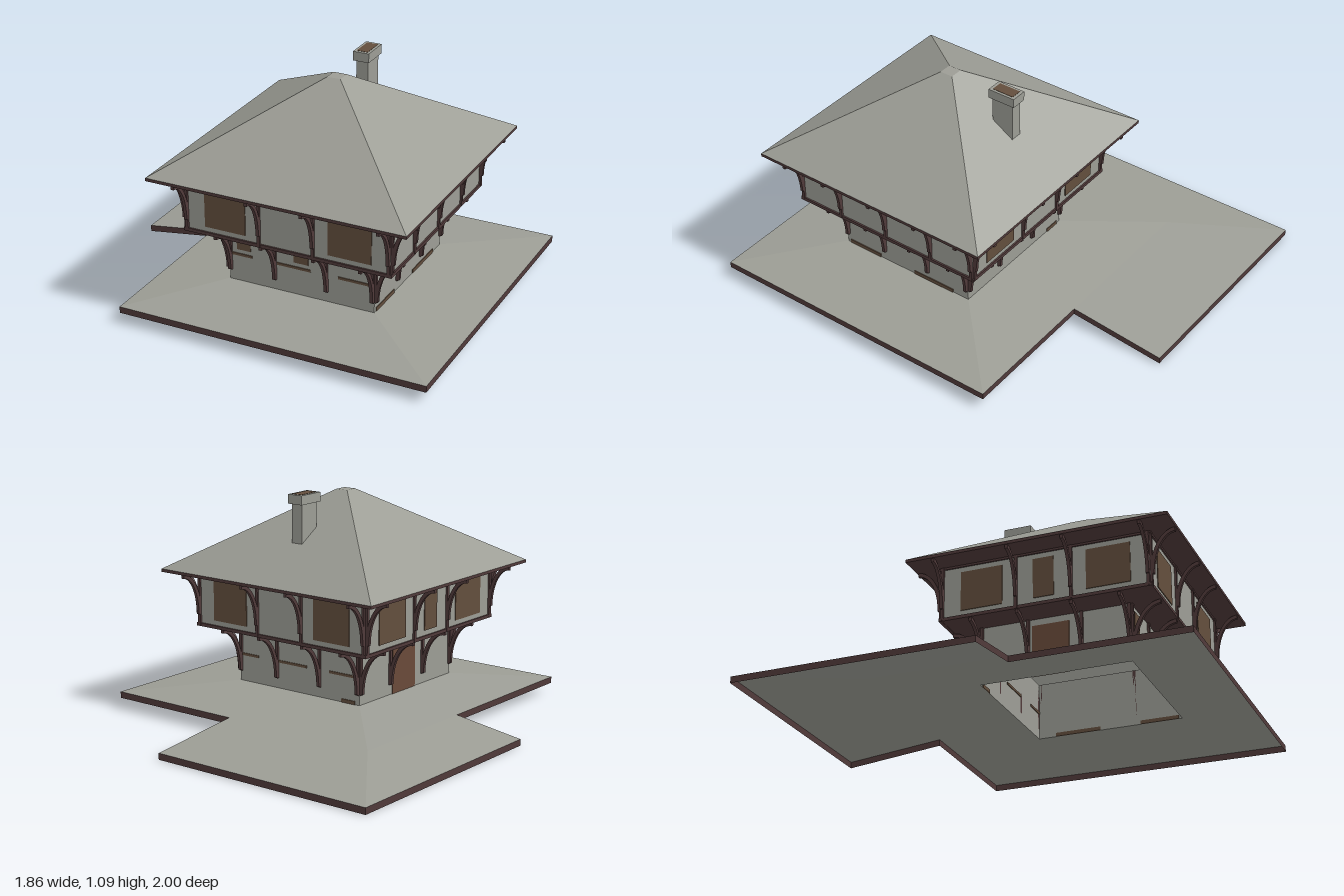
import * as THREE from 'three';

const mat = (name, color) => new THREE.MeshStandardMaterial({ name, color, side: THREE.DoubleSide });

// Joins two loops or paths of [x, y, z] points with flat quads
function loft(a, b, closed = true) {
  const pos = [];
  const n = a.length;
  for (let i = 0; i < (closed ? n : n - 1); i++) {
    const j = (i + 1) % n;
    for (const p of [a[i], a[j], b[j], a[i], b[j], b[i]]) pos.push(...p);
  }
  const g = new THREE.BufferGeometry();
  g.setAttribute('position', new THREE.Float32BufferAttribute(pos, 3));
  g.computeVertexNormals();
  return g;
}

// Square loop around the house axis
const square = (h, y) => [[-h, y, h], [h, y, h], [h, y, -h], [-h, y, -h]];

// Quarter-ellipse brace: rises along the wall, then curves outward (+z)
function braceGeometry(reach, rise, thick, width) {
  const s = new THREE.Shape();
  s.moveTo(0, 0);
  s.absellipse(reach, 0, reach, rise, Math.PI, Math.PI / 2, true);
  s.lineTo(reach, rise - thick);
  s.absellipse(reach, 0, reach - thick, rise - thick, Math.PI / 2, Math.PI, false);
  s.closePath();
  const g = new THREE.ExtrudeGeometry(s, { depth: width, bevelEnabled: false, curveSegments: 8 });
  g.translate(0, 0, -width / 2);
  g.rotateY(-Math.PI / 2);
  return g;
}

export function createModel() {
  const stone = mat('grey stone', 0x9c9d95);
  const wood = mat('dark wood', 0x503a3a);
  const panel = mat('brown panel', 0x634e3d);
  const doorBrown = mat('door brown', 0x694a3a);

  const model = new THREE.Group();
  const add = (parent, name, geo, material, x = 0, y = 0, z = 0) => {
    const m = new THREE.Mesh(geo, material);
    m.name = name;
    m.position.set(x, y, z);
    parent.add(m);
  };
  const box = (parent, name, material, w, h, d, x, y, z) =>
    add(parent, name, new THREE.BoxGeometry(w, h, d), material, x, y, z);

  // Half widths of each square storey and of the eaves, and the house centre
  const LOW = 0.365, UP = 0.505, EAVE = 0.631;
  const CX = 0.141, CZ = 0.246;

  // Ground sheet, open below: raised square with a sloping wing round one corner
  const ground = new THREE.Group();
  ground.name = 'ground';
  model.add(ground);
  const footing = square(LOW, 0.13).map(([x, y, z]) => [x + CX, y, z + CZ]);
  const plot = [[-0.58, 0.085, 1], [0.93, 0.085, 1], [0.93, 0.085, -0.525], [-0.58, 0.085, -0.525]];
  const wingIn = [[0.225, 0.085, -0.525], [-0.58, 0.085, -0.525], [-0.58, 0.085, 0.165]];
  const wingOut = [[0.225, 0.035, -1], [-0.93, 0.035, -1], [-0.93, 0.035, 0.165]];
  add(ground, 'groundTop', loft(plot, footing), stone);
  add(ground, 'wingTop', loft(wingOut, wingIn, false), stone);

  // Thin skirt hanging from the whole outline
  const outline = [...plot.slice(0, 3), wingIn[0], ...wingOut, wingIn[2]];
  const skirtBottom = outline.map(([x, y, z]) => [x, Math.max(0, y - 0.031), z]);
  add(ground, 'groundEdge', loft(skirtBottom, outline), wood);

  const house = new THREE.Group();
  house.name = 'house';
  house.position.set(CX, 0, CZ);
  model.add(house);

  // Hollow storeys with the upper one overhanging
  add(house, 'lowerWalls', loft(square(LOW, 0.13), square(LOW, 0.415)), stone);
  add(house, 'upperWalls', loft(square(UP, 0.415), square(UP, 0.69)), stone);
  add(house, 'overhangFloor', loft(square(LOW, 0.412), square(UP, 0.412)), wood);

  // Hipped roof with a small flat top and boarded eaves
  add(house, 'roof', loft(square(EAVE, 0.695), square(0.0325, 1.066)), stone);
  box(house, 'roofTop', stone, 0.065, 0.004, 0.065, 0, 1.064, 0);
  add(house, 'eavesEdge', loft(square(EAVE, 0.68), square(EAVE, 0.695)), wood);
  add(house, 'eavesUnderside', loft(square(UP, 0.68), square(EAVE, 0.68)), wood);

  // Chimney
  box(house, 'chimneyShaft', stone, 0.06, 0.22, 0.11, 0, 0.94, -0.317);
  box(house, 'chimneyCap', stone, 0.08, 0.045, 0.14, 0, 1.0655, -0.317);
  box(house, 'chimneyMouth', panel, 0.055, 0.004, 0.11, 0, 1.0875, -0.317);

  const lowerBrace = braceGeometry(0.14, 0.225, 0.018, 0.015);
  const upperBrace = braceGeometry(0.12, 0.21, 0.018, 0.015);
  const three = [-0.497, -0.133, 0.133, 0.497];
  const bigWindows = [[-0.303, 0.205, 0.45, 0.645], [0.31, 0.21, 0.45, 0.645]];
  const smallWindows = [[-0.29, 0.07, 0.29, 0.39], [0.002, 0.075, 0.29, 0.39]];
  const sills = [[-0.305, 0.115, 0.258, 0.27], [-0.035, 0.17, 0.258, 0.27], [0.27, 0.165, 0.258, 0.27]];

  // Panels are [centre along wall, width, bottom, top]
  const sides = [
    { name: 'frontSide', turn: 0, posts: three, upper: bigWindows, lower: [...smallWindows, ...sills] },
    {
      name: 'plainSide', turn: Math.PI / 2, posts: [-0.497, -0.265, 0.003, 0.265, 0.497], upper: [],
      lower: [[-0.253, 0.19, 0.13, 0.148], [0.162, 0.23, 0.13, 0.148]],
    },
    {
      name: 'backSide', turn: Math.PI, posts: three, upper: bigWindows,
      lower: [...sills, [0.3, 0.08, 0.13, 0.147]],
    },
    {
      name: 'doorSide', turn: -Math.PI / 2, posts: three,
      upper: [...bigWindows, [0, 0.1, 0.45, 0.645]], lower: [],
    },
  ];

  for (const s of sides) {
    const side = new THREE.Group();
    side.name = s.name;
    side.rotation.y = s.turn;
    house.add(side);

    // Windows and sills
    for (const [list, z] of [[s.upper, UP], [s.lower, LOW]])
      for (const [x, w, y0, y1] of list)
        box(side, 'panel', panel, w, y1 - y0, 0.008, x, (y0 + y1) / 2, z);
    if (s.name === 'doorSide') box(side, 'door', doorBrown, 0.18, 0.25, 0.008, -0.02, 0.255, LOW);

    // Lower posts and braces, standing on the outer face
    for (const x of [-0.358, -0.13, 0.13, 0.358]) {
      box(side, 'lowerPost', wood, 0.015, 0.235, 0.01, x, 0.2975, LOW + 0.005);
      add(side, 'lowerBrace', lowerBrace, wood, x, 0.185, LOW);
    }

    // Upper posts and braces
    for (const x of s.posts) {
      box(side, 'upperPost', wood, 0.015, 0.265, 0.01, x, 0.5475, UP + 0.005);
      add(side, 'upperBrace', upperBrace, wood, x, 0.47, UP);
    }

    // Horizontal beams
    box(side, 'floorBeam', wood, 2 * UP + 0.016, 0.016, 0.016, 0, 0.418, UP);
    box(side, 'topBeam', wood, 2 * UP + 0.014, 0.012, 0.014, 0, 0.676, UP);
  }
  return model;
}
